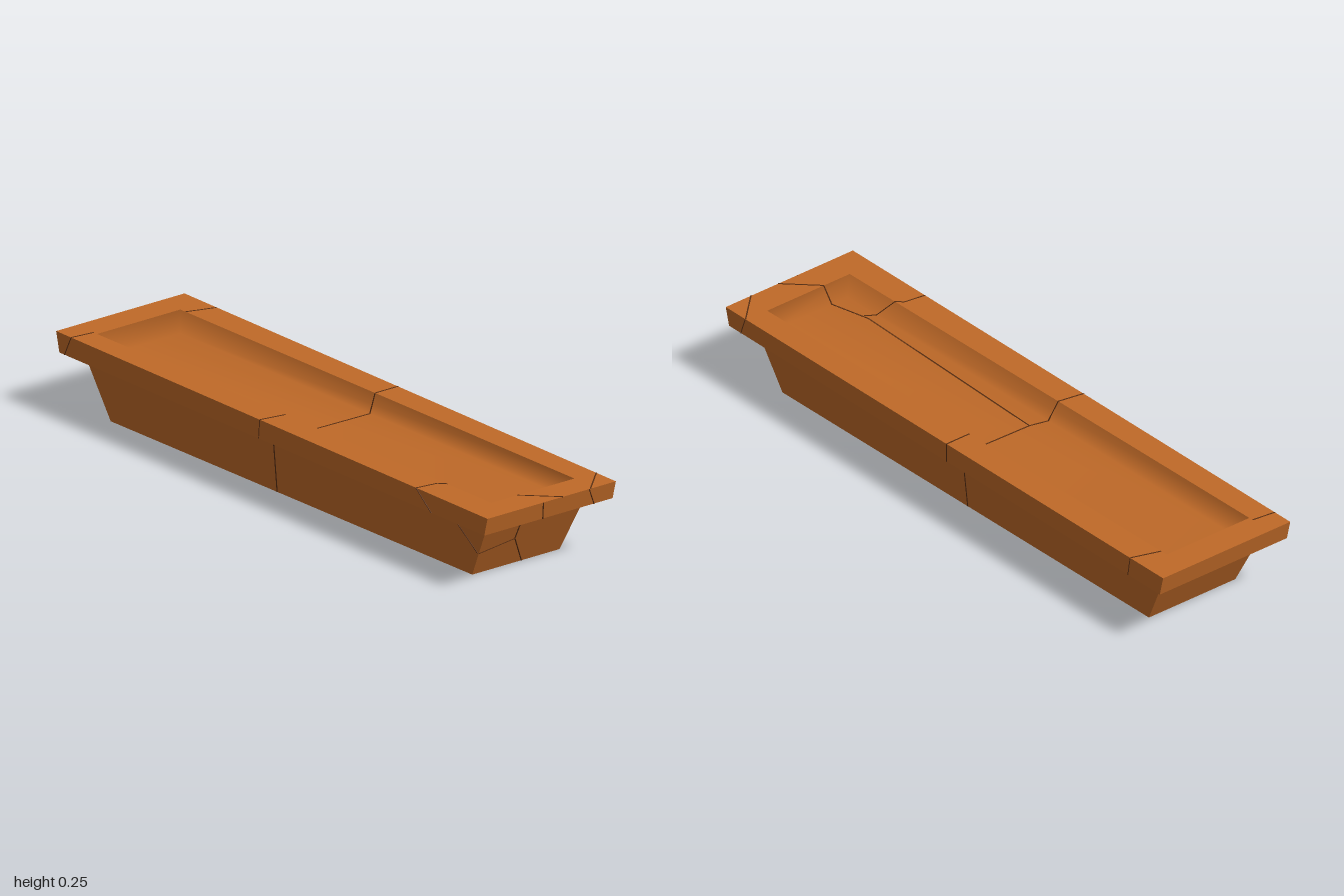
import * as THREE from 'three';

// rectangular ring of corners, counter-clockwise seen from above
const ring = (x, zBack, zFront, y) => [[-x, y, zFront], [x, y, zFront], [x, y, zBack], [-x, y, zBack]];

// skin between successive rings, optionally closed at the first or last one
function loft(rings, { capStart = false, capEnd = false, smooth = false } = {}) {
  const index = [];
  for (let r = 0; r < rings.length - 1; r++) {
    for (let i = 0; i < 4; i++) {
      const a = r * 4 + i, b = r * 4 + (i + 1) % 4;
      index.push(a, b, b + 4, a, b + 4, a + 4);
    }
  }
  if (capStart) index.push(0, 2, 1, 0, 3, 2);
  const e = (rings.length - 1) * 4;
  if (capEnd) index.push(e, e + 1, e + 2, e, e + 2, e + 3);
  let geo = new THREE.BufferGeometry();
  geo.setAttribute('position', new THREE.Float32BufferAttribute(rings.flat(2), 3));
  geo.setIndex(index);
  if (!smooth) geo = geo.toNonIndexed();
  geo.computeVertexNormals();
  return geo;
}

export function createModel() {
  const group = new THREE.Group();
  const clay = new THREE.MeshStandardMaterial({ color: 0xc06a28 });
  const dark = new THREE.MeshStandardMaterial({ color: 0x5a2f12 });
  const add = (name, geo) => {
    const mesh = new THREE.Mesh(geo, clay);
    mesh.name = name;
    group.add(mesh);
  };

  // tapered body
  const bodyTop = ring(0.925, -0.183, 0.19, 0.187);
  add('body', loft([ring(0.83, -0.163, 0.17, 0), bodyTop], { capStart: true }));

  // overhanging rim, slightly skewed and lower towards +x
  const skew = ([x, y, z]) => [x, y, z + 0.008 * x];
  const opening = ring(0.905, -0.158, 0.16, 0.247);
  const outerTop = ring(1, -0.245, 0.245, 0.247).map(skew);
  for (const c of [...outerTop, ...opening]) c[1] -= 0.003 * c[0];
  add('rim', loft([bodyTop, ring(0.985, -0.245, 0.245, 0.187).map(skew), outerTop, opening]));

  // shallow basin, softly shaded
  add('basin', loft([opening, ring(0.88, -0.138, 0.13, 0.187)], { capEnd: true, smooth: true }));

  // hairline cracks as thin strips barely above the surface
  const cracks = new THREE.Group();
  cracks.name = 'cracks';
  group.add(cracks);
  const crack = (points) => {
    for (let i = 0; i < points.length - 1; i++) {
      const a = new THREE.Vector3(...points[i]), b = new THREE.Vector3(...points[i + 1]);
      const strip = new THREE.Mesh(new THREE.BoxGeometry(0.004, 0.002, a.distanceTo(b)), dark);
      strip.position.copy(a).lerp(b, 0.5);
      strip.lookAt(b);
      strip.name = 'crack';
      cracks.add(strip);
    }
  };
  const top = (x) => 0.247 - 0.003 * x;
  const onTop = (...pts) => crack(pts.map(([x, z]) => [x, top(x), z]));
  const onFront = (...pts) => crack(pts.map(([x, y]) => [x, y, 0.17 + 0.107 * y]));
  const onEnd = (...pts) => crack(pts.map(([z, y]) => [0.83 + 0.508 * y, y, z]));
  const onBase = (...pts) => crack(pts.map(([x, z]) => [x, 0.001, z]));
  const onRimEnd = (...pts) => crack(pts.map(([z, y]) => [0.985 + (y - 0.187) * 0.26, y, z]));
  const onRimSide = (s, ...pts) => crack(pts.map(([x, y]) => [x, y, s * 0.245 + 0.008 * x]));

  // rim top
  onTop([-0.85, -0.25], [-0.88, -0.158]);
  onTop([-0.92, 0.16], [-0.93, 0.237]);
  onTop([-0.01, -0.245], [-0.01, -0.158]);
  onTop([-0.04, 0.16], [-0.055, 0.244]);
  onTop([0.91, -0.237], [1, -0.14]);
  onTop([1, -0.035], [0.905, 0.06]);
  onTop([0.7, 0.16], [0.68, 0.18], [0.67, 0.25]);
  // rim sides
  onRimSide(1, [-0.93, 0.249], [-0.96, 0.187]);
  onRimSide(1, [-0.055, 0.247], [-0.06, 0.187]);
  onRimSide(1, [0.67, 0.245], [0.74, 0.187]);
  onRimSide(-1, [-0.01, 0.247], [-0.01, 0.187]);
  onRimSide(-1, [0.91, 0.244], [0.93, 0.187]);
  onRimSide(-1, [-0.85, 0.249], [-0.84, 0.187]);
  onRimEnd([0.04, 0.244], [0.03, 0.187]);
  onRimEnd([-0.135, 0.244], [-0.165, 0.187]);
  // body
  onFront([-0.06, 0.187], [-0.065, 0]);
  onFront([0.74, 0.187], [0.865, 0.08]);
  onEnd([0.052, 0.187], [0.05, 0.1], [-0.017, 0]);
  onEnd([0.05, 0.1], [0.178, 0.08]);
  crack([[-0.01, 0.187, -0.183], [-0.01, 0, -0.163]]);
  onBase([0.83, -0.017], [-0.01, -0.055], [-0.01, -0.163]);
  onBase([-0.01, -0.055], [-0.065, 0.17]);
  // basin floor and walls
  crack([[-0.01, top(0), -0.158], [-0.01, 0.187, -0.138], [-0.015, 0.187, 0.07], [-0.03, 0.187, 0.13], [-0.04, top(0), 0.16]]);
  crack([[-0.015, 0.187, 0.07], [0.75, 0.187, 0.1], [0.88, 0.187, 0.07], [0.905, 0.244, 0.06]]);
  crack([[0.77, 0.187, 0.1], [0.75, 0.187, 0.13], [0.7, 0.245, 0.16]]);
  return group;
}
